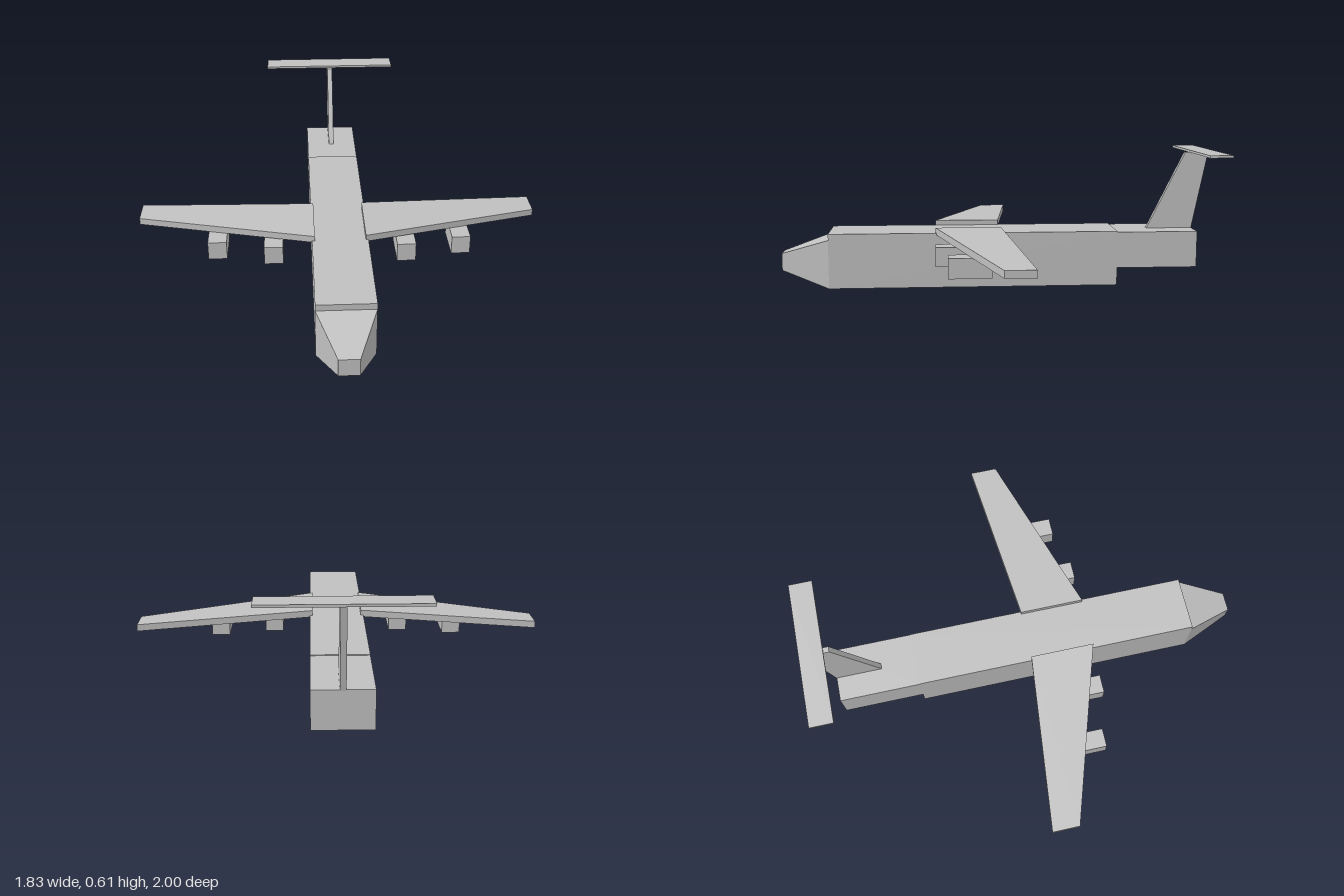
import * as THREE from 'three';

// Box between two corners; an optional rule moves each vertex, given the signs of its corner
function block(x0, x1, y0, y1, z0, z1, rule) {
  const g = new THREE.BoxGeometry(x1 - x0, y1 - y0, z1 - z0);
  g.translate((x0 + x1) / 2, (y0 + y1) / 2, (z0 + z1) / 2);
  if (rule) {
    const p = g.attributes.position;
    const v = new THREE.Vector3();
    for (let i = 0; i < p.count; i++) {
      v.fromBufferAttribute(p, i);
      rule(v, v.x > (x0 + x1) / 2, v.y > (y0 + y1) / 2, v.z > (z0 + z1) / 2);
      p.setXYZ(i, v.x, v.y, v.z);
    }
    g.computeVertexNormals();
  }
  return g;
}

export function createModel() {
  const model = new THREE.Group();
  model.name = 'airplane';
  const grey = new THREE.MeshStandardMaterial({ color: 0xc0c0c0, flatShading: true });
  grey.name = 'light grey';

  const add = (name, geometry) => {
    const mesh = new THREE.Mesh(geometry, grey);
    mesh.name = name;
    model.add(mesh);
  };

  // Body, with a shallower raised tail section
  add('fuselage', block(-0.125, 0.125, 0, 0.25, -0.535, 0.78));
  add('tailSection', block(-0.125, 0.125, 0.08, 0.246, -0.905, -0.535));

  // Nose tapers to a small flat front
  add('nose', block(-0.125, 0.125, 0, 0.222, 0.78, 1, (v, left, top, front) => {
    if (front) v.set(left ? 0.043 : -0.043, top ? 0.15 : 0.072, 1);
  }));

  // Swept fin carrying a flat tailplane
  add('tailFin', block(-0.0125, 0.0125, 0.24, 0.602, -0.905, -0.69, (v, left, top, front) => {
    if (top) v.z = front ? -0.87 : -0.978;
  }));
  add('tailplane', block(-0.33, 0.33, 0.6, 0.611, -1, -0.895));

  for (const s of [1, -1]) {
    const side = s > 0 ? 'left' : 'right';

    // Tapered wing drooping towards the tip
    const inner = 0.113, outer = 0.917;
    add(side + 'Wing', block(Math.min(s * inner, s * outer), Math.max(s * inner, s * outer), 0.242, 0.273, 0, 0.297,
      (v, left, top, front) => {
        if (left === s > 0) {
          v.y -= 0.035;
          v.z = front ? 0.042 : -0.083;
        }
      }));

    // Two square engine pods below each wing
    for (const [name, x, z] of [['InnerEngine', 0.296, 0.297], ['OuterEngine', 0.548, 0.246]]) {
      add(side + name, block(s * x - 0.042, s * x + 0.042, 0.137, 0.222, z - 0.18, z));
    }
  }
  return model;
}
